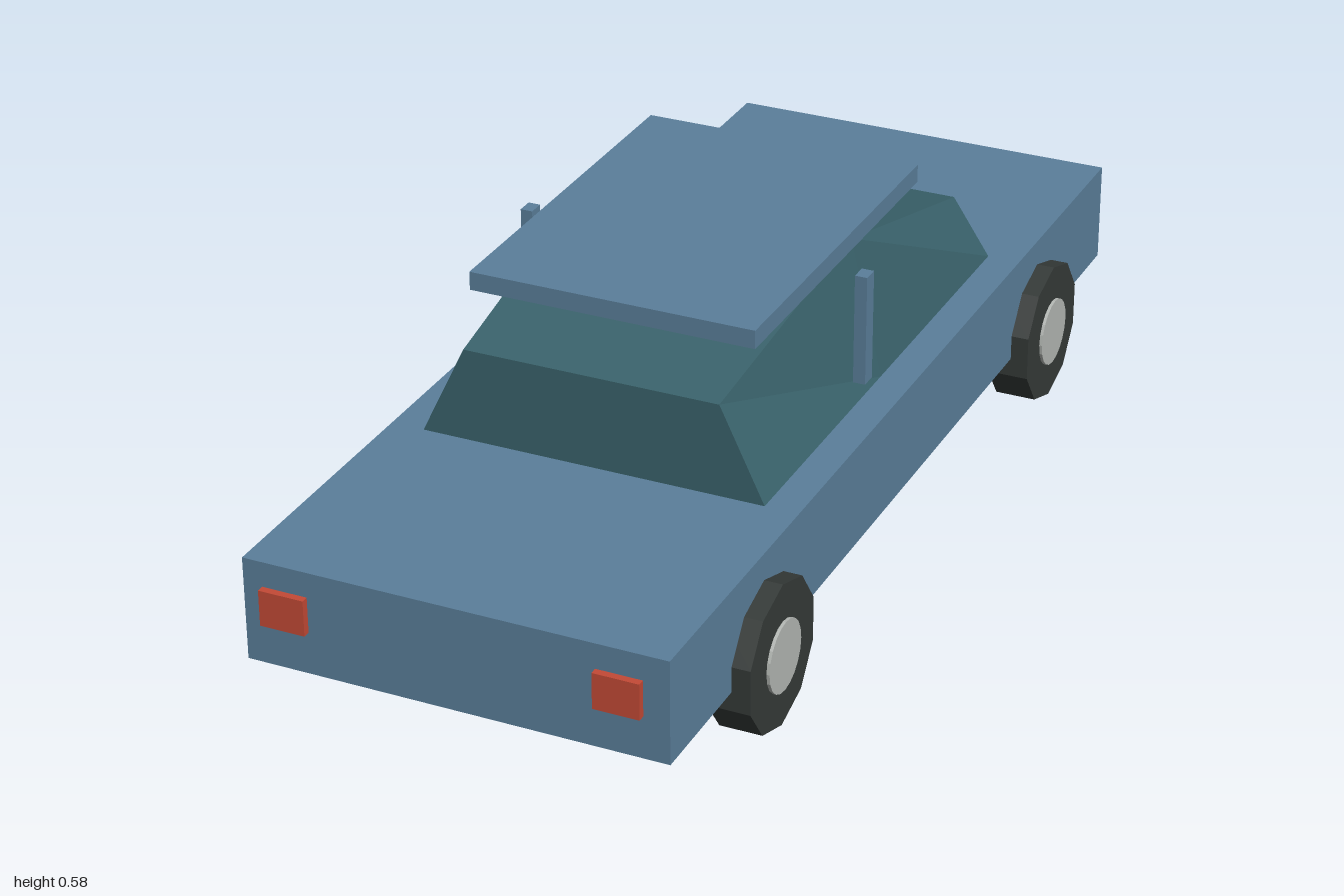
import * as THREE from 'three';

const mat = (name, color) => Object.assign(new THREE.MeshStandardMaterial({ color }), { name, flatShading: true });

export function createModel() {
  const car = new THREE.Group();
  car.name = 'sedan';
  const paint = mat('blue paint', 0x5b7f9b);
  const glass = mat('dark teal glass', 0x3a636c);
  const rubber = mat('tyre rubber', 0x353a38);
  const chrome = mat('chrome', 0xb4b8b4);
  const red = mat('red lamp', 0xc44a36);
  const cream = mat('cream lamp', 0xd8cba8);

  const add = (name, geometry, material) => {
    const mesh = new THREE.Mesh(geometry, material);
    mesh.name = name;
    car.add(mesh);
    return mesh;
  };
  // Box given by its limits on each axis
  const box = (name, material, [x0, x1], [y0, y1], [z0, z1]) =>
    add(name, new THREE.BoxGeometry(x1 - x0, y1 - y0, z1 - z0), material)
      .position.set((x0 + x1) / 2, (y0 + y1) / 2, (z0 + z1) / 2);

  // Body and floating roof panel
  box('body', paint, [-0.37, 0.37], [0.12, 0.305], [-0.965, 0.977]);
  box('roof', paint, [-0.257, 0.257], [0.54, 0.573], [-0.286, 0.411]);

  // Cabin lofted through three trapezoid sections: z, top half width, top height
  const sections = [[0.49, 0.23, 0.472], [0, 0.251, 0.555], [-0.515, 0.24, 0.41]];
  const points = [], faces = [];
  for (const [z, w, y] of sections) {
    points.push(-0.31, 0.305, z, 0.31, 0.305, z, w, y, z, -w, y, z);
  }
  for (let s = 0; s < 2; s++) {
    for (let i = 0; i < 4; i++) {
      const a = s * 4 + i, b = s * 4 + (i + 1) % 4;
      faces.push(a, a + 4, b, b, a + 4, b + 4);
    }
  }
  faces.push(0, 1, 2, 0, 2, 3, 8, 10, 9, 8, 11, 10);
  let cabin = new THREE.BufferGeometry();
  cabin.setAttribute('position', new THREE.Float32BufferAttribute(points, 3));
  cabin.setIndex(faces);
  cabin = cabin.toNonIndexed();
  cabin.computeVertexNormals();
  add('cabinGlass', cabin, glass);

  // Grille and bumper
  box('grille', glass, [-0.157, 0.157], [0.18, 0.245], [-0.976, -0.965]);
  box('bumper', chrome, [-0.34, 0.34], [0.134, 0.166], [-1, -0.963]);

  // Paired parts
  for (const [side, label] of [[1, 'left'], [-1, 'right']]) {
    const span = (a, b) => (side > 0 ? [a, b] : [-b, -a]);
    box(label + 'Pillar', paint, span(0.3, 0.322), [0.34, 0.54], [0.07, 0.1]);
    box(label + 'RedLamp', red, span(0.25, 0.33), [0.203, 0.267], [0.987, 1]);
    box(label + 'CreamLamp', cream, span(0.197, 0.34), [0.22, 0.28], [-0.985, -0.965]);

    // Ten-sided tyres with round hub caps
    for (const [z, end] of [[0.627, 'Lamp'], [-0.614, 'Grille']]) {
      const tyre = new THREE.CylinderGeometry(0.131, 0.131, 0.075, 10).rotateZ(Math.PI / 2);
      // Turn so that a flat side rests on the ground
      tyre.rotateX(Math.PI / 10);
      add(label + end + 'EndTyre', tyre, rubber).position.set(side * 0.365, 0.1255, z);
      const hub = new THREE.CylinderGeometry(0.063, 0.063, 0.02, 20).rotateZ(Math.PI / 2);
      add(label + end + 'EndHub', hub, chrome).position.set(side * 0.398, 0.1255, z);
    }
  }
  return car;
}
